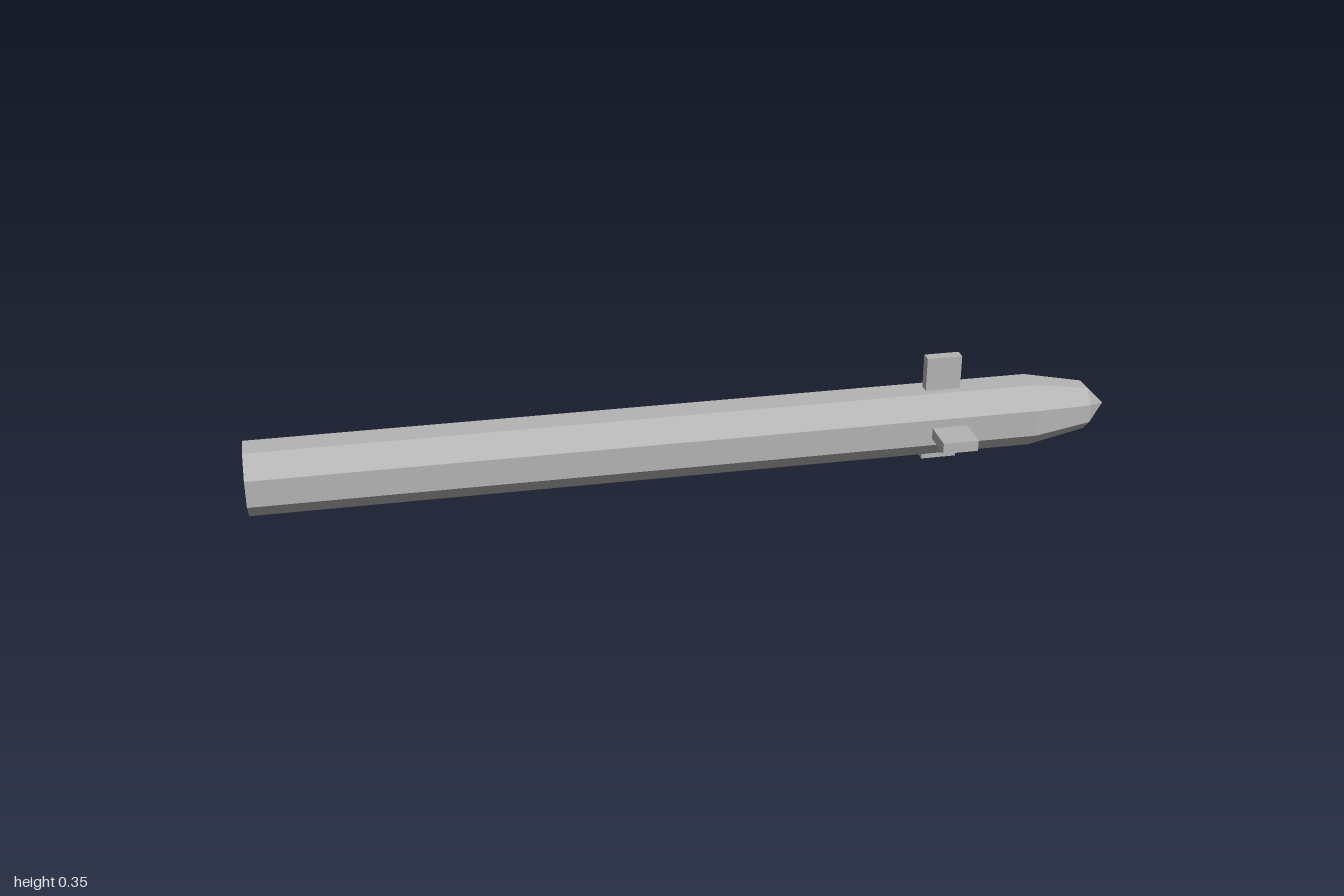
import * as THREE from 'three';

const AXIS_Y = 0.135; // height of the body axis

export function createModel() {
  const model = new THREE.Group();
  model.name = 'model';
  const grey = new THREE.MeshStandardMaterial({ color: 0xb4b4b4, flatShading: true });
  grey.name = 'grey';

  // Everything is built pointing along -z, then turned to the diagonal
  const missile = new THREE.Group();
  missile.name = 'missile';
  missile.rotation.y = -Math.PI / 4;
  model.add(missile);

  const add = (name, geometry, x, y, z) => {
    const mesh = new THREE.Mesh(geometry, grey);
    mesh.name = name;
    mesh.position.set(x, y, z);
    missile.add(mesh);
  };

  // Octagonal body with flat tail and tapered nose: [flat radius, distance along axis]
  const corner = 1 / Math.cos(Math.PI / 8);
  const profile = [[0, -1.305], [0.105, -1.305], [0.105, 1.153], [0.0715, 1.343], [0, 1.414]]
    .map(([r, s]) => new THREE.Vector2(r * corner, s));
  const body = new THREE.LatheGeometry(profile, 8);
  body.rotateY(Math.PI / 8);
  body.rotateX(-Math.PI / 2);
  add('body', body, 0, AXIS_Y, 0);

  // Side fins, one plate through the body
  add('sideFins', new THREE.BoxGeometry(0.428, 0.035, 0.113), 0, 0.133, -0.861);

  // Upright fin, taller above the body than below
  add('uprightFin', new THREE.BoxGeometry(0.035, 0.35, 0.113), 0, 0.175, -0.861);

  return model;
}
